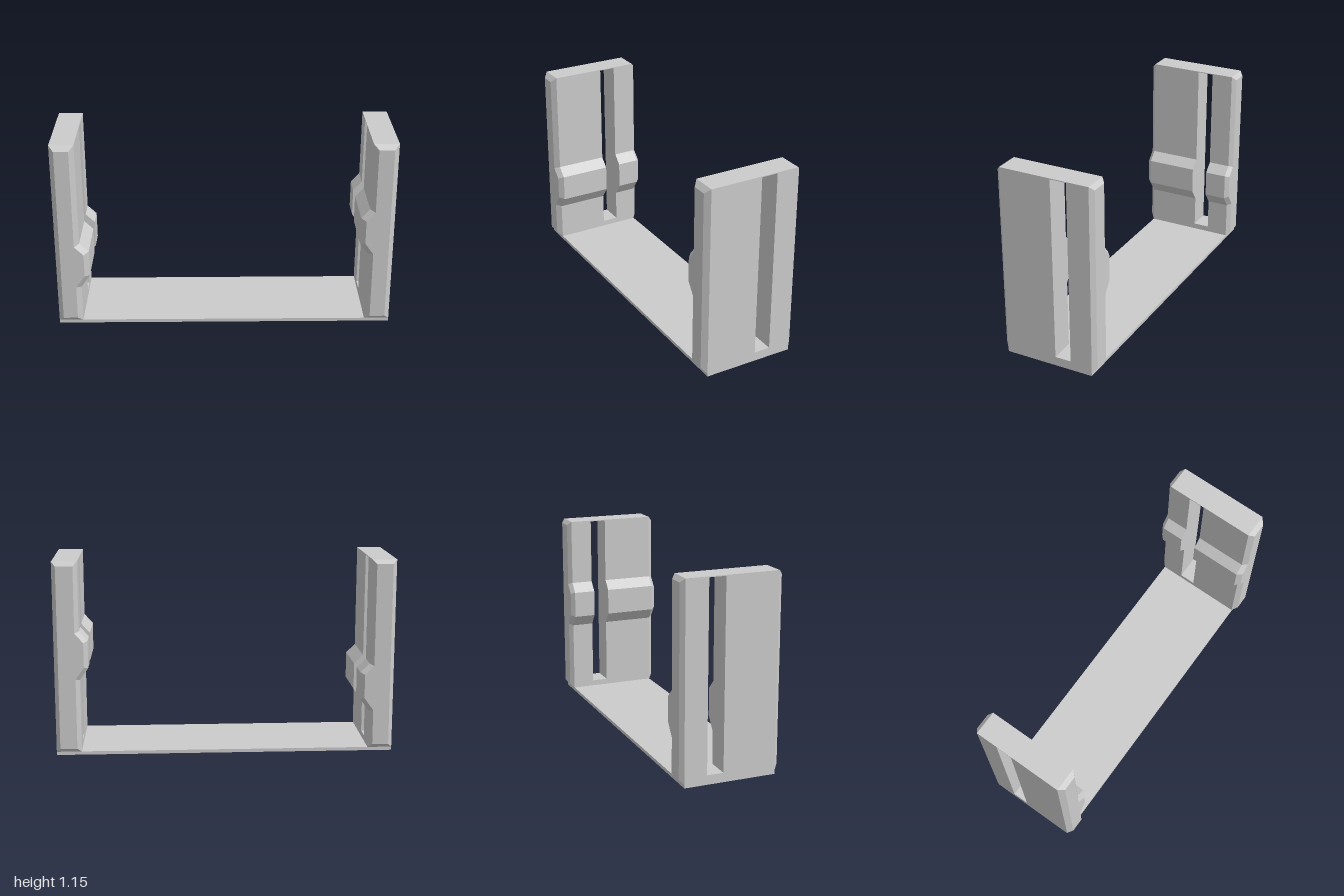
import * as THREE from 'three';

const BASE_TOP = 0.02, TOP = 1.155;
const BACK = -0.275, FRONT = 0.27;               // full-size part of the walls
const SLOT_BACK = -0.141, SLOT_FRONT = -0.043;   // slot through both walls
const SLOT_BOTTOM = 0.055, SLOT_TOP = 1.15;

const material = new THREE.MeshStandardMaterial({ color: 0xcccccc, flatShading: true });

// Moves every edge of a counter-clockwise outline inwards by d (mitred corners)
function inset(points, d) {
  const n = points.length;
  const normal = (a, b) => new THREE.Vector2(a.y - b.y, b.x - a.x).normalize();
  return points.map((p, i) => {
    const n1 = normal(points[(i + n - 1) % n], p);
    const n2 = normal(p, points[(i + 1) % n]);
    return n1.clone().add(n2).multiplyScalar(d / (1 + n1.dot(n2))).add(p);
  });
}

// Closed solid through cross-sections [z, outline], ordered from back to front
function loft(sections) {
  const pos = [];
  const put = (p, z) => pos.push(p.x, p.y, z);
  for (let k = 0; k < sections.length - 1; k++) {
    const [z0, r0] = sections[k], [z1, r1] = sections[k + 1];
    r0.forEach((a, i) => {
      const j = (i + 1) % r0.length;
      put(a, z0); put(r0[j], z0); put(r1[j], z1);
      put(a, z0); put(r1[j], z1); put(r1[i], z1);
    });
  }
  const [zb, back] = sections[0], [zf, front] = sections[sections.length - 1];
  for (const [a, b, c] of THREE.ShapeUtils.triangulateShape(back, [])) {
    put(back[a], zb); put(back[c], zb); put(back[b], zb);
  }
  for (const [a, b, c] of THREE.ShapeUtils.triangulateShape(front, [])) {
    put(front[a], zf); put(front[b], zf); put(front[c], zf);
  }
  const geometry = new THREE.BufferGeometry();
  geometry.setAttribute('position', new THREE.Float32BufferAttribute(pos, 3));
  geometry.computeVertexNormals();
  return geometry;
}

function addMesh(parent, name, geometry) {
  const mesh = new THREE.Mesh(geometry, material);
  mesh.name = name;
  parent.add(mesh);
  return mesh;
}

function addBox(parent, name, x0, x1, y0, y1, z0, z1) {
  const mesh = addMesh(parent, name, new THREE.BoxGeometry(x1 - x0, y1 - y0, z1 - z0));
  mesh.position.set((x0 + x1) / 2, (y0 + y1) / 2, (z0 + z1) / 2);
}

// Slotted wall; ridge lists the four heights of the inner ridge from the bottom up
function makeWall(name, side, inner, ridge) {
  const wall = new THREE.Group();
  wall.name = name;
  const crest = 0.802;
  let outline = [
    [inner, BASE_TOP], [1, BASE_TOP], [1, TOP], [inner, TOP],
    [inner, ridge[3]], [crest, ridge[2]], [crest, ridge[1]], [inner, ridge[0]],
  ].map(([x, y]) => new THREE.Vector2(side * x, y));
  if (side < 0) outline.reverse();

  // Solid pieces either side of the slot, bevelled at their outer ends
  addMesh(wall, 'backPanel', loft([[-0.298, inset(outline, 0.024)], [BACK, outline], [SLOT_BACK, outline]]));
  addMesh(wall, 'frontPanel', loft([[SLOT_FRONT, outline], [FRONT, outline], [0.298, inset(outline, 0.029)]]));

  // Closed ends of the slot
  const x0 = Math.min(side, side * inner), x1 = Math.max(side, side * inner);
  addBox(wall, 'slotSill', x0, x1, BASE_TOP, SLOT_BOTTOM, SLOT_BACK, SLOT_FRONT);
  addBox(wall, 'slotCap', x0, x1, SLOT_TOP, TOP, SLOT_BACK, SLOT_FRONT);
  return wall;
}

export function createModel() {
  const model = new THREE.Group();
  model.name = 'slottedBracket';
  addBox(model, 'basePlate', -1, 1, 0, BASE_TOP, BACK, FRONT);
  model.add(makeWall('leftWall', 1, 0.852, [0.457, 0.527, 0.69, 0.747]));
  model.add(makeWall('rightWall', -1, 0.856, [0.247, 0.322, 0.482, 0.535]));
  return model;
}
